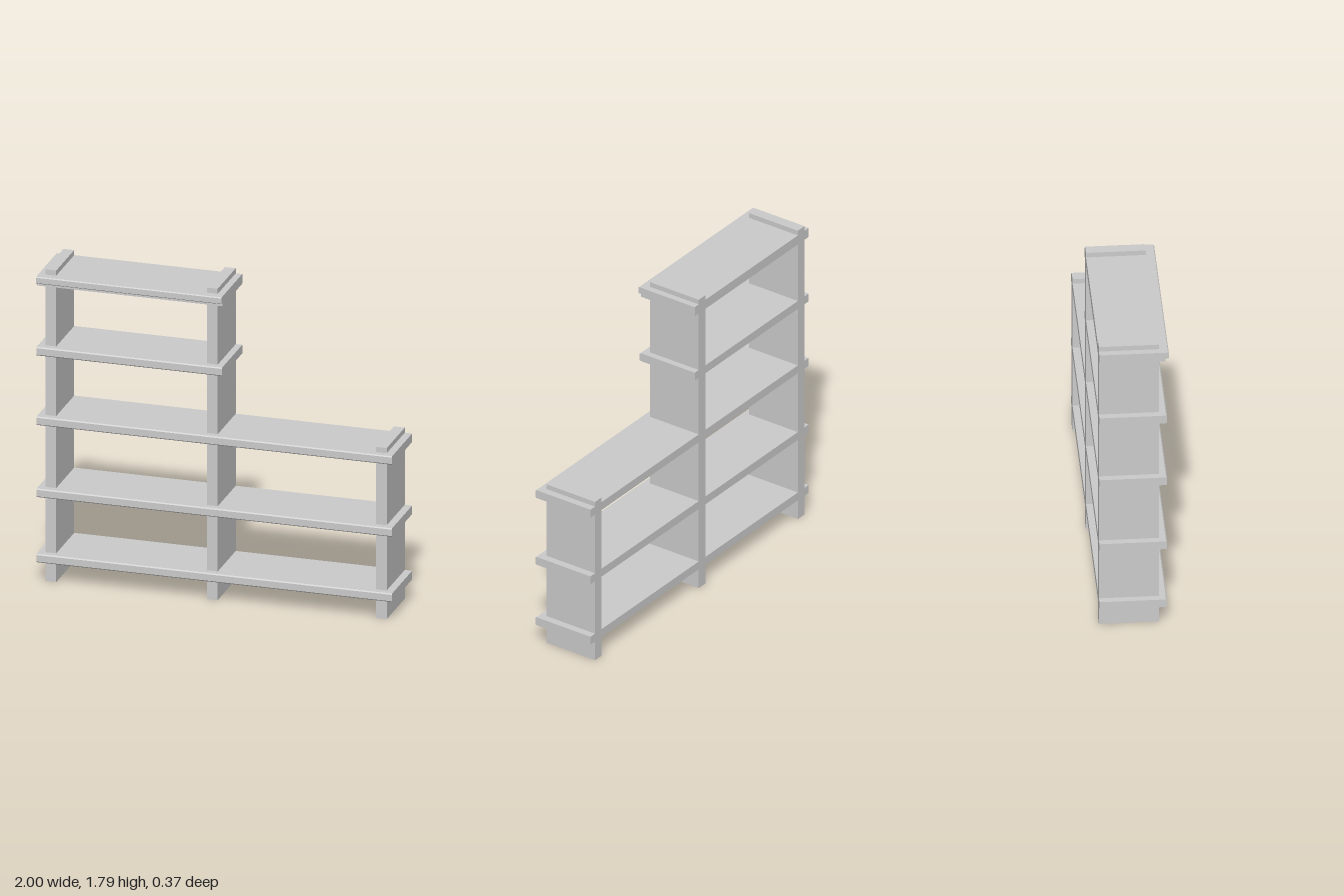
import * as THREE from 'three';

const material = new THREE.MeshStandardMaterial({ color: 0xcccccc, flatShading: true });
const BACK = -0.187;

// Board running along x, from a [z, y] side profile
function board(name, points, x0, x1, y) {
  const shape = new THREE.Shape(points.map(([z, h]) => new THREE.Vector2(-z, h)));
  const geometry = new THREE.ExtrudeGeometry(shape, { depth: x1 - x0, bevelEnabled: false });
  geometry.rotateY(Math.PI / 2);
  const mesh = new THREE.Mesh(geometry, material);
  mesh.name = name;
  mesh.position.set(x0, y, 0);
  return mesh;
}

// Shelf profile with eased front edges
function shelfProfile(front, thickness, ease = 0.006) {
  return [
    [BACK, 0], [front - ease, 0], [front, ease],
    [front, thickness - ease], [front - ease, thickness], [BACK, thickness],
  ];
}

export function createModel() {
  const group = new THREE.Group();
  group.name = 'steppedShelf';

  // Upright panels, running through the shelves
  const uprights = [
    ['rightUpright', -0.932, 1.79],
    ['middleUpright', -0.023, 1.79],
    ['leftUpright', 0.928, 0.983],
  ];
  for (const [name, x, height] of uprights) {
    const depth = 0.323;
    const mesh = new THREE.Mesh(new THREE.BoxGeometry(0.061, height, depth), material);
    mesh.name = name;
    mesh.position.set(x, height / 2, BACK + depth / 2);
    group.add(mesh);
  }

  // Three full-width shelves and one short shelf
  const shelves = [
    ['bottomShelf', 0.116, 1],
    ['lowerShelf', 0.491, 1],
    ['middleShelf', 0.905, 1],
    ['upperShelf', 1.305, 0.044],
  ];
  for (const [name, y, end] of shelves) {
    group.add(board(name, shelfProfile(0.178, 0.049), -1, end, y));
  }

  // Short top shelf with a rebated lip under its front edge
  const topProfile = [
    [BACK, 0], [0.168, 0], [0.168, 0.017], [0.183, 0.017], [0.187, 0.021],
    [0.187, 0.051], [0.182, 0.056], [BACK, 0.056],
  ];
  group.add(board('topShelf', topProfile, -1, 0.044, 1.705));

  return group;
}
